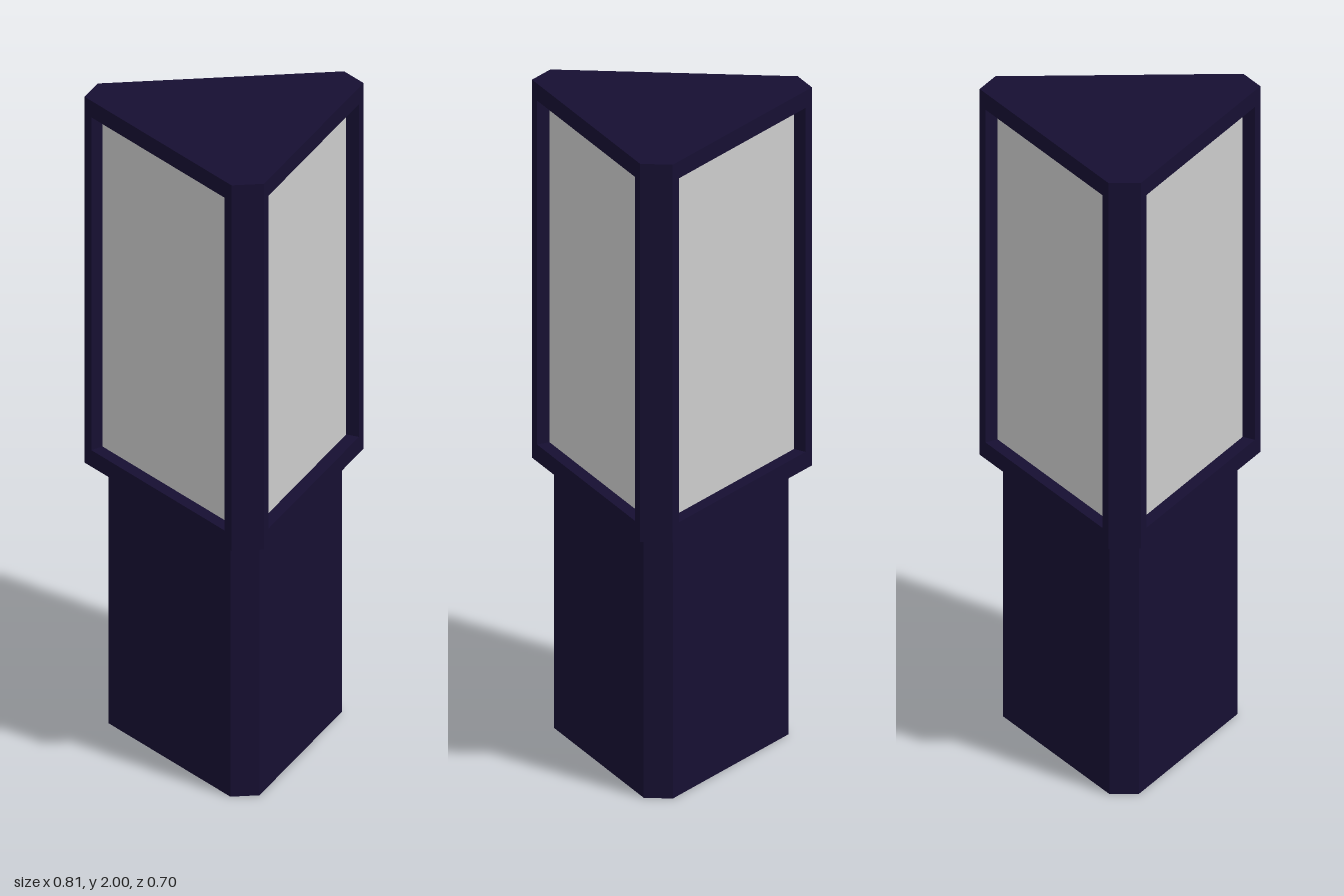
import * as THREE from 'three';

const NAVY = new THREE.MeshStandardMaterial({ color: 0x160f32, side: THREE.DoubleSide, flatShading: true });
const GREY = new THREE.MeshStandardMaterial({ color: 0xcccccc, side: THREE.DoubleSide, flatShading: true });

const CENTRE_Z = 0.0895;
const TOP = 2, LEDGE = 0.825;
const UPPER = { long: 0.357, short: 0.047 };   // half lengths of the long and short sides
const LOWER = { long: 0.296, short: 0.042 };
const apothem = ({ long, short }) => (long + 2 * short) / Math.sqrt(3);
const cornerReach = ({ long, short }) => (2 * long + short) / Math.sqrt(3);

// Triangle with cut corners, as a ring of points at height y
function hexRing(size, y) {
  const ring = [], r = apothem(size);
  for (let k = 0; k < 3; k++) {
    const s = Math.sin(k * Math.PI * 2 / 3), c = Math.cos(k * Math.PI * 2 / 3);
    for (const t of [-size.long, size.long]) ring.push([s * r + c * t, y, c * r - s * t]);
  }
  return ring;
}

// Upright rectangle, as a ring of points at depth z
const rectRing = (w, y0, y1, z) => [[-w, y0, z], [w, y0, z], [w, y1, z], [-w, y1, z]];

// Flat quads between successive closed rings
function loft(...rings) {
  const pos = [];
  for (let j = 0; j + 1 < rings.length; j++) {
    const a = rings[j], b = rings[j + 1];
    a.forEach((p, i) => {
      const n = (i + 1) % a.length;
      pos.push(...p, ...a[n], ...b[n], ...p, ...b[n], ...b[i]);
    });
  }
  const geo = new THREE.BufferGeometry();
  geo.setAttribute('position', new THREE.Float32BufferAttribute(pos, 3));
  geo.computeVertexNormals();
  return geo;
}

function add(parent, name, geo, material) {
  const mesh = new THREE.Mesh(geo, material);
  mesh.name = name;
  parent.add(mesh);
  return mesh;
}

export function createModel() {
  const model = new THREE.Group();
  model.name = 'kiosk';
  const body = new THREE.Group();
  body.name = 'body';
  body.position.z = CENTRE_Z;
  model.add(body);

  // Hollow pedestal, open at the bottom, with the overhanging ledge above
  add(body, 'pedestal', loft(hexRing(LOWER, 0), hexRing(LOWER, LEDGE)), NAVY);
  add(body, 'ledge', loft(hexRing(LOWER, LEDGE), hexRing(UPPER, LEDGE)), NAVY);

  // Flat roof
  const outline = new THREE.Shape(hexRing(UPPER, 0).map(([x, , z]) => new THREE.Vector2(x, -z)));
  add(body, 'roof', new THREE.ShapeGeometry(outline).rotateX(-Math.PI / 2), NAVY).position.y = TOP;

  // Three display sides, each with a frame, a recessed screen and a cut corner
  const r = apothem(UPPER), recess = 0.04;
  const w = 0.324, y0 = 0.878, y1 = 1.947;
  for (let k = 0; k < 3; k++) {
    const side = new THREE.Group();
    side.name = 'displaySide';
    side.rotation.y = k * Math.PI * 2 / 3;
    body.add(side);

    add(side, 'frame', loft(
      rectRing(UPPER.long, LEDGE, TOP, r),
      rectRing(w, y0, y1, r),
      rectRing(w, y0, y1, r - recess)), NAVY);

    add(side, 'screen', new THREE.PlaneGeometry(2 * w, y1 - y0), GREY)
      .position.set(0, (y0 + y1) / 2, r - recess);

    const corner = add(side, 'cornerPost', new THREE.PlaneGeometry(2 * UPPER.short, TOP - LEDGE)
      .translate(0, (TOP + LEDGE) / 2, cornerReach(UPPER)), NAVY);
    corner.rotation.y = Math.PI / 3;
  }
  return model;
}
